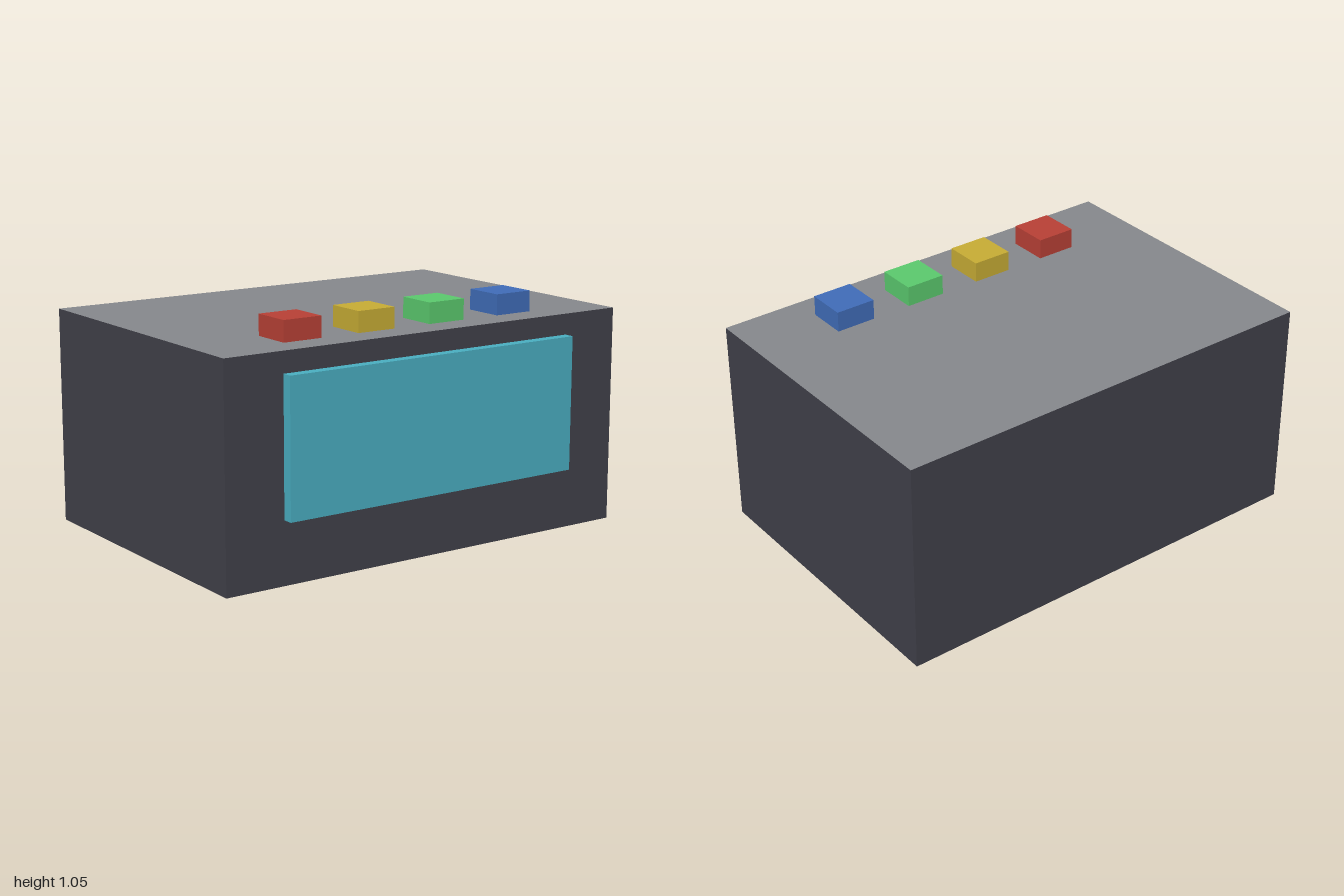
import * as THREE from 'three';

const W = 2, H = 0.955, BACK = -0.705, FRONT = 0.659;

function material(name, color, side = THREE.FrontSide) {
  const m = new THREE.MeshStandardMaterial({ color, side });
  m.name = name;
  return m;
}

export function createModel() {
  const group = new THREE.Group();
  group.name = 'console';
  const charcoal = material('charcoal', 0x41414a, THREE.DoubleSide);
  const grey = material('grey', 0x87898d, THREE.DoubleSide);
  const teal = material('teal', 0x4aafc2);
  const buttonColours = [
    material('red', 0xb94136),
    material('yellow', 0xc8ad35),
    material('green', 0x5bca6e),
    material('blue', 0x406db9),
  ];

  function add(name, geometry, mat, x, y, z) {
    const mesh = new THREE.Mesh(geometry, mat);
    mesh.name = name;
    mesh.position.set(x, y, z);
    group.add(mesh);
    return mesh;
  }

  // Thin-walled cabinet, open underneath
  const depth = FRONT - BACK, midZ = (FRONT + BACK) / 2;
  add('frontWall', new THREE.PlaneGeometry(W, H), charcoal, 0, H / 2, FRONT);
  add('backWall', new THREE.PlaneGeometry(W, H), charcoal, 0, H / 2, BACK).rotation.y = Math.PI;
  for (const s of [-1, 1]) {
    add(s > 0 ? 'leftWall' : 'rightWall', new THREE.PlaneGeometry(depth, H), charcoal,
      s * W / 2, H / 2, midZ).rotation.y = s * Math.PI / 2;
  }
  add('topPanel', new THREE.PlaneGeometry(W, depth), grey, 0, H, midZ).rotation.x = -Math.PI / 2;

  // Screen slab, its back just inside the front wall
  const screenBack = FRONT - 0.002, screenFront = 0.705;
  add('screen', new THREE.BoxGeometry(1.454, 0.591, screenFront - screenBack), teal,
    0, 0.568, (screenBack + screenFront) / 2);

  // Row of four buttons
  const button = new THREE.BoxGeometry(0.182, 0.091, 0.182);
  buttonColours.forEach((mat, i) => {
    add(mat.name + 'Button', button, mat, -0.545 + i * 0.3635, H + 0.0455, 0.432);
  });

  return group;
}
